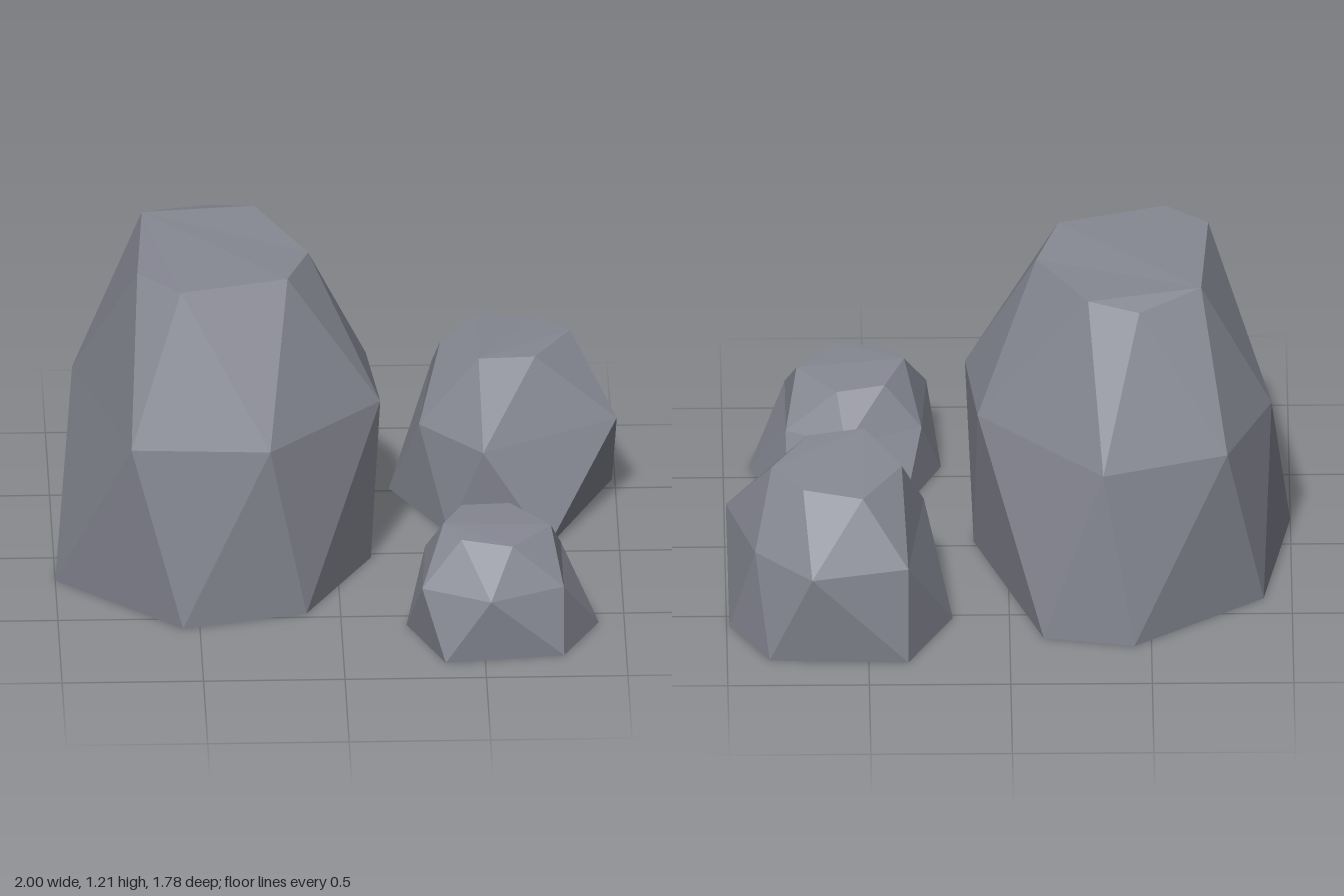
import * as THREE from 'three';

const stone = new THREE.MeshStandardMaterial({ color: 0x868893 });
stone.name = 'stone grey';

// Faceted boulder from three rings that run anticlockwise seen from above.
// Base and top corner i sit between waist corners i and i + 1.
function boulder(name, { base, waist, waistY, top, fan }) {
  const b = base.map(([x, z]) => [x, 0, z]);
  const m = waist.map(([x, z]) => [x, waistY, z]);
  const t = top.map(([x, y, z]) => [x, y, z]);
  const n = b.length;
  const corners = [];
  const tri = (...points) => points.forEach((p) => corners.push(...p));

  for (let i = 0; i < n; i++) {
    const j = (i + 1) % n;
    // lower and upper bands of facets
    tri(m[i], b[i], m[j]);
    tri(b[i], b[j], m[j]);
    tri(m[i], m[j], t[i]);
    tri(m[j], t[j], t[i]);
  }
  for (let k = 1; k < n - 1; k++) {
    // crown and underside
    tri(t[fan], t[(fan + k) % n], t[(fan + k + 1) % n]);
    tri(b[0], b[k + 1], b[k]);
  }

  const geometry = new THREE.BufferGeometry();
  geometry.setAttribute('position', new THREE.Float32BufferAttribute(corners, 3));
  geometry.computeVertexNormals(); // unshared corners give flat facets
  const mesh = new THREE.Mesh(geometry, stone);
  mesh.name = name;
  return mesh;
}

// Tall seven-sided boulder
const large = {
  base: [[-0.56, 0.58], [-0.12, 0.47], [0.12, 0.03], [-0.12, -0.67], [-0.44, -0.73], [-0.9, -0.39], [-1, 0.18]],
  waist: [[-0.74, 0.51], [-0.25, 0.54], [0.15, 0.14], [0.11, -0.25], [-0.33, -0.7], [-0.77, -0.55], [-0.93, -0.17]],
  waistY: 0.67,
  top: [[-0.56, 1.195, 0.32], [-0.18, 1.19, 0.21], [-0.1, 1.175, -0.03], [-0.28, 1.195, -0.37],
    [-0.46, 1.175, -0.42], [-0.68, 1.21, -0.3], [-0.71, 1.205, 0.18]],
  fan: 5,
};

// Six-sided boulder at the back
const medium = {
  base: [[0.75, -0.04], [0.99, -0.57], [0.85, -0.82], [0.36, -0.84], [0.2, -0.52], [0.4, -0.15]],
  waist: [[0.52, -0.06], [1, -0.33], [0.9, -0.68], [0.7, -0.89], [0.36, -0.81], [0.3, -0.3]],
  waistY: 0.36,
  top: [[0.71, 0.62, -0.3], [0.84, 0.615, -0.52], [0.73, 0.6, -0.66], [0.52, 0.59, -0.71],
    [0.38, 0.595, -0.48], [0.51, 0.63, -0.27]],
  fan: 5,
};

// Small six-sided boulder at the front
const small = {
  base: [[0.36, 0.88], [0.78, 0.83], [0.91, 0.57], [0.78, 0.31], [0.36, 0.28], [0.23, 0.57]],
  waist: [[0.28, 0.77], [0.52, 0.89], [0.78, 0.77], [0.78, 0.41], [0.57, 0.3], [0.3, 0.43]],
  waistY: 0.24,
  top: [[0.42, 0.405, 0.72], [0.6, 0.395, 0.76], [0.74, 0.395, 0.59], [0.6, 0.395, 0.41],
    [0.43, 0.405, 0.44], [0.36, 0.418, 0.61]],
  fan: 5,
};

export function createModel() {
  const group = new THREE.Group();
  group.name = 'rocks';
  group.add(
    boulder('largeRock', large),
    boulder('mediumRock', medium),
    boulder('smallRock', small),
  );
  return group;
}
